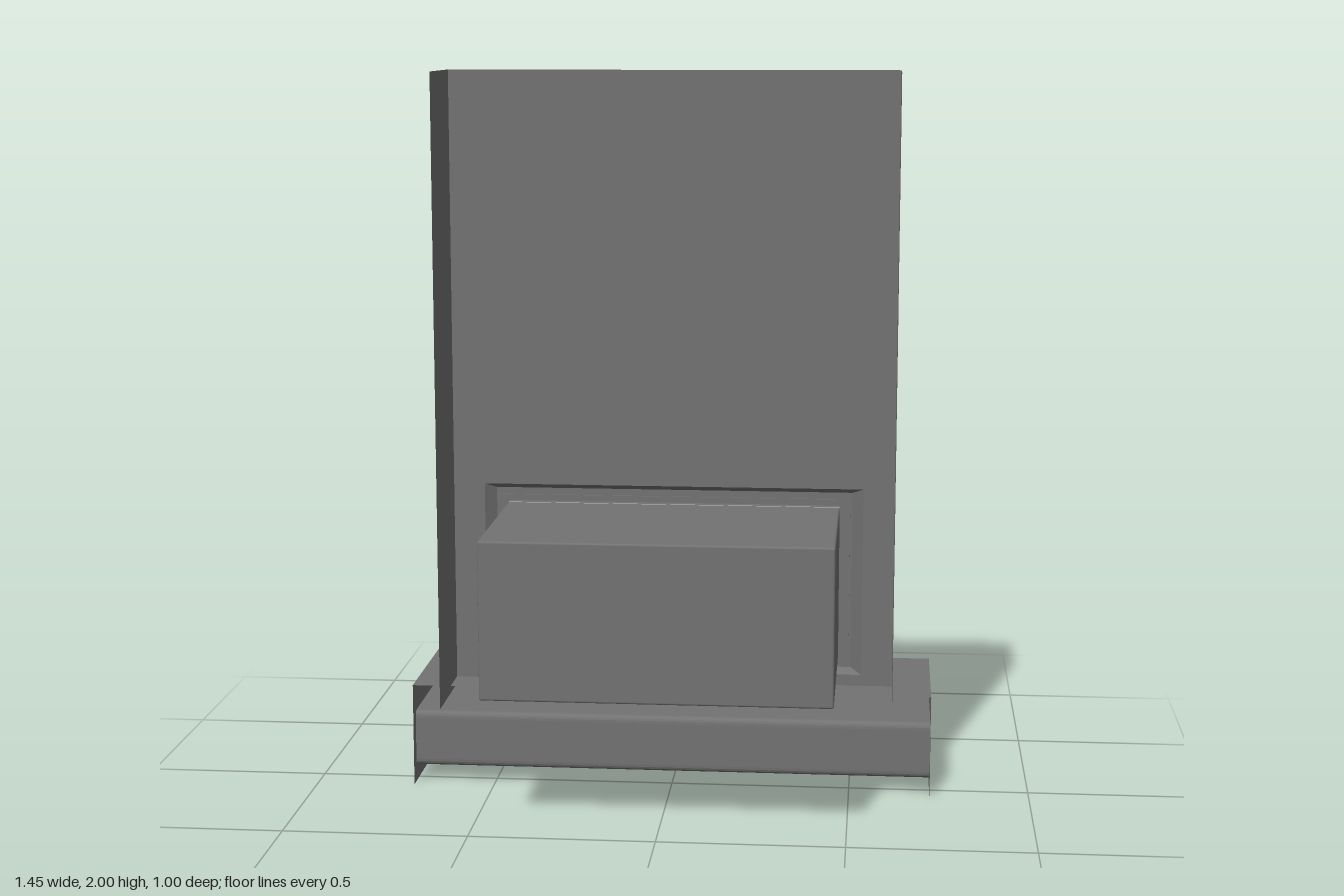
import * as THREE from 'three';
import { RoundedBoxGeometry } from 'three/addons/geometries/RoundedBoxGeometry.js';

const darkGrey = new THREE.MeshStandardMaterial({ color: 0x727272, side: THREE.DoubleSide });
const paneMaterial = new THREE.MeshStandardMaterial({ color: 0xbebebe, side: THREE.DoubleSide });

// Flat-shaded surface spanned between successive rows of points
function sheet(rows) {
  const pos = [];
  for (let i = 0; i < rows.length - 1; i++) {
    for (let j = 0; j < rows[i].length - 1; j++) {
      const a = rows[i][j], b = rows[i][j + 1], c = rows[i + 1][j + 1], d = rows[i + 1][j];
      pos.push(...a, ...b, ...c, ...a, ...c, ...d);
    }
  }
  const g = new THREE.BufferGeometry();
  g.setAttribute('position', new THREE.Float32BufferAttribute(pos, 3));
  g.computeVertexNormals();
  return g;
}

// Closed rectangle of points around the firebox opening
const OPENING_Y = 0.586;
const rect = (w, h, z) => [[-1, -1], [-1, 1], [1, 1], [1, -1], [-1, -1]]
  .map(([sx, sy]) => [sx * w, OPENING_Y + sy * h, z]);

function add(parent, name, geometry, material = darkGrey) {
  const mesh = new THREE.Mesh(geometry, material);
  mesh.name = name;
  parent.add(mesh);
  return mesh;
}

function chimneyBreast() {
  const group = new THREE.Group();
  group.name = 'chimneyBreast';
  const W = 0.617, y0 = 0.27, y1 = 2, zFace = -0.03, zBack = 0.24;

  // Face panel, cut out behind the frame
  const face = new THREE.Shape([[-W, y0], [W, y0], [W, y1], [-W, y1]]
    .map(p => new THREE.Vector2(...p)));
  face.holes.push(new THREE.Path(rect(0.53, 0.265, 0)
    .slice(0, 4).map(([x, y]) => new THREE.Vector2(x, y))));
  add(group, 'facePanel', new THREE.ShapeGeometry(face).translate(0, 0, zFace));

  // Thin side returns
  for (const s of [-1, 1]) {
    add(group, s > 0 ? 'leftPanel' : 'rightPanel', sheet([
      [[s * W, y0, zFace], [s * W, y1, zFace]],
      [[s * W, y0, zBack], [s * W, y1, zBack]],
    ]));
  }
  return group;
}

function firebox() {
  const group = new THREE.Group();
  group.name = 'firebox';

  // Body running back through the chimney breast
  const zFront = -0.03, zBack = 0.5;
  const body = add(group, 'fireboxBody',
    new RoundedBoxGeometry(0.93, 0.428, zBack - zFront, 2, 0.006));
  body.position.set(0, OPENING_Y, (zFront + zBack) / 2);

  // Frame, open at the back: bevel, flat face and stepped inner lip (x inset, y inset, z)
  const steps = [[0, 0, -0.03], [0.03, 0.015, -0.058], [0.036, 0.034, -0.058],
    [0.036, 0.034, -0.053], [0.066, 0.051, -0.053], [0.066, 0.051, -0.03]];
  add(group, 'frame', sheet(steps.map(([dx, dy, z]) => rect(0.53 - dx, 0.265 - dy, z))));

  // Glass pane, set just inside the lip
  const pane = add(group, 'glassPane', new THREE.PlaneGeometry(0.928, 0.428), paneMaterial);
  pane.rotation.y = Math.PI;
  pane.position.set(0, OPENING_Y, -0.045);
  return group;
}

function hearth() {
  const group = new THREE.Group();
  group.name = 'hearth';
  const W = 0.725;

  // C-shaped section, drawn with its horizontal axis along -z
  const section = new THREE.Shape();
  section.moveTo(-0.075, 0.29);
  section.lineTo(0.34, 0.29);
  section.lineTo(0.34, 0.24);
  section.lineTo(0.305, 0.205);
  section.lineTo(-0.02, 0.205);
  section.quadraticCurveTo(-0.04, 0.205, -0.04, 0.185);
  section.lineTo(-0.04, 0.065);
  section.quadraticCurveTo(-0.04, 0.045, -0.02, 0.045);
  section.lineTo(0.485, 0.045);
  section.lineTo(0.503, 0.03);
  section.lineTo(0.503, 0);
  section.lineTo(-0.075, 0);

  // Shelf skin, left open underneath and at the back
  const skin = section.getPoints(5).slice(0, -1);
  add(group, 'shelves', sheet(skin.map(p => [[-W, p.y, -p.x], [W, p.y, -p.x]])));

  // End caps
  for (const s of [-1, 1]) {
    const cap = add(group, s > 0 ? 'leftEnd' : 'rightEnd',
      new THREE.ShapeGeometry(section, 5).rotateY(Math.PI / 2));
    cap.position.x = s * W;
  }
  return group;
}

export function createModel() {
  const model = new THREE.Group();
  model.name = 'fireplace';
  model.add(chimneyBreast(), firebox(), hearth());
  return model;
}
